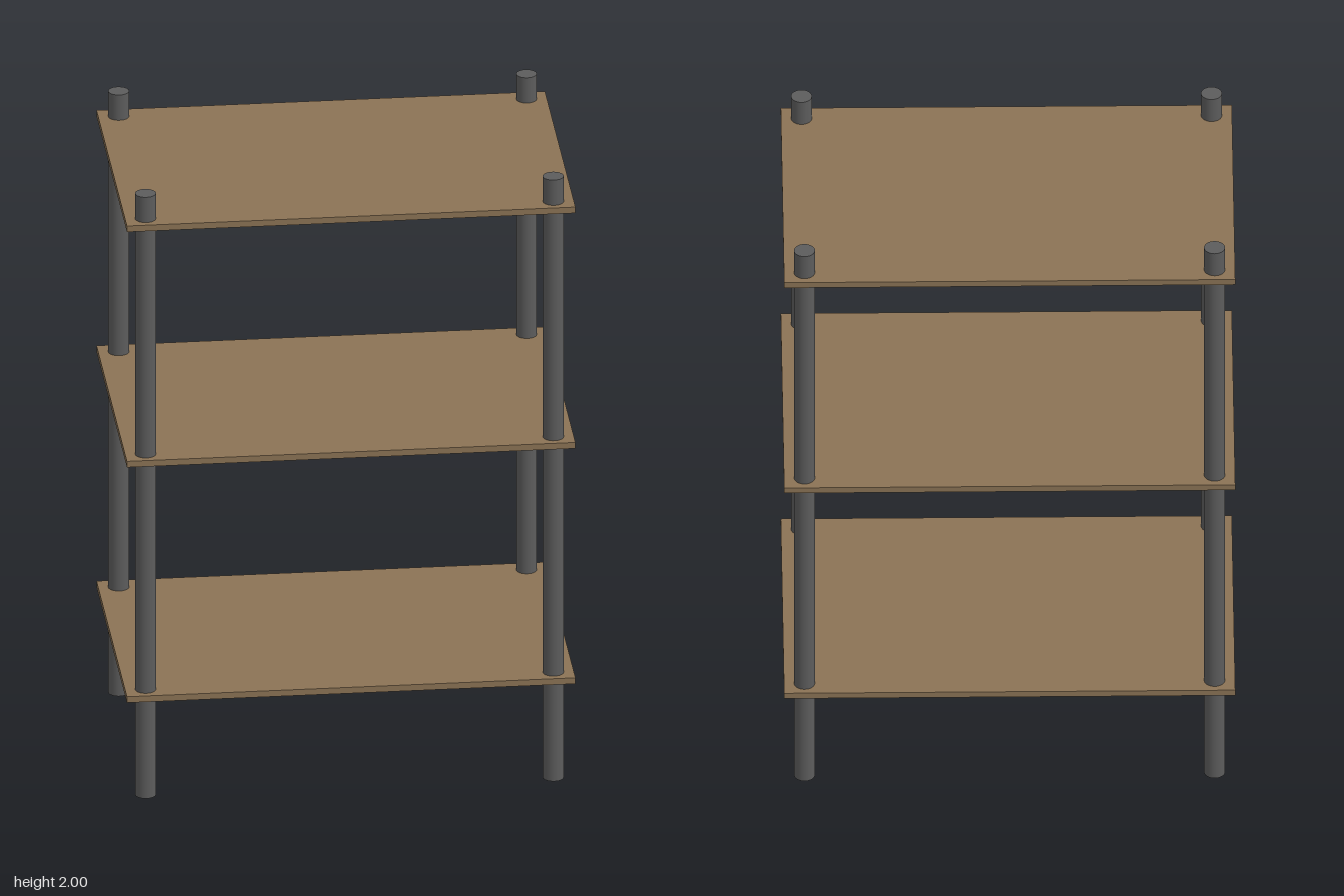
import * as THREE from 'three';

const HEIGHT = 2, POST_RADIUS = 0.032, POST_X = 0.625, POST_Z = 0.391;
const SHELF_WIDTH = 1.375, SHELF_DEPTH = 0.885, SHELF_THICKNESS = 0.02;

export function createModel() {
  const model = new THREE.Group();
  model.name = 'shelvingUnit';
  const metal = new THREE.MeshStandardMaterial({ color: 0x5c5c5c });
  const wood = new THREE.MeshStandardMaterial({ color: 0x8b7355 });

  // Four round corner posts
  const postGeometry = new THREE.CylinderGeometry(POST_RADIUS, POST_RADIUS, HEIGHT, 32);
  for (const [xName, sx] of [['Left', 1], ['Right', -1]]) {
    for (const [zName, sz] of [['front', 1], ['back', -1]]) {
      const post = new THREE.Mesh(postGeometry, metal);
      post.name = `${zName}${xName}Post`;
      post.position.set(sx * POST_X, HEIGHT / 2, sz * POST_Z);
      model.add(post);
    }
  }

  // Three thin boards that the posts pass through
  const shelfGeometry = new THREE.BoxGeometry(SHELF_WIDTH, SHELF_THICKNESS, SHELF_DEPTH);
  const levels = { bottomShelf: 0.34, middleShelf: 1.123, topShelf: 1.906 };
  for (const [name, y] of Object.entries(levels)) {
    const shelf = new THREE.Mesh(shelfGeometry, wood);
    shelf.name = name;
    shelf.position.y = y;
    model.add(shelf);
  }
  return model;
}
